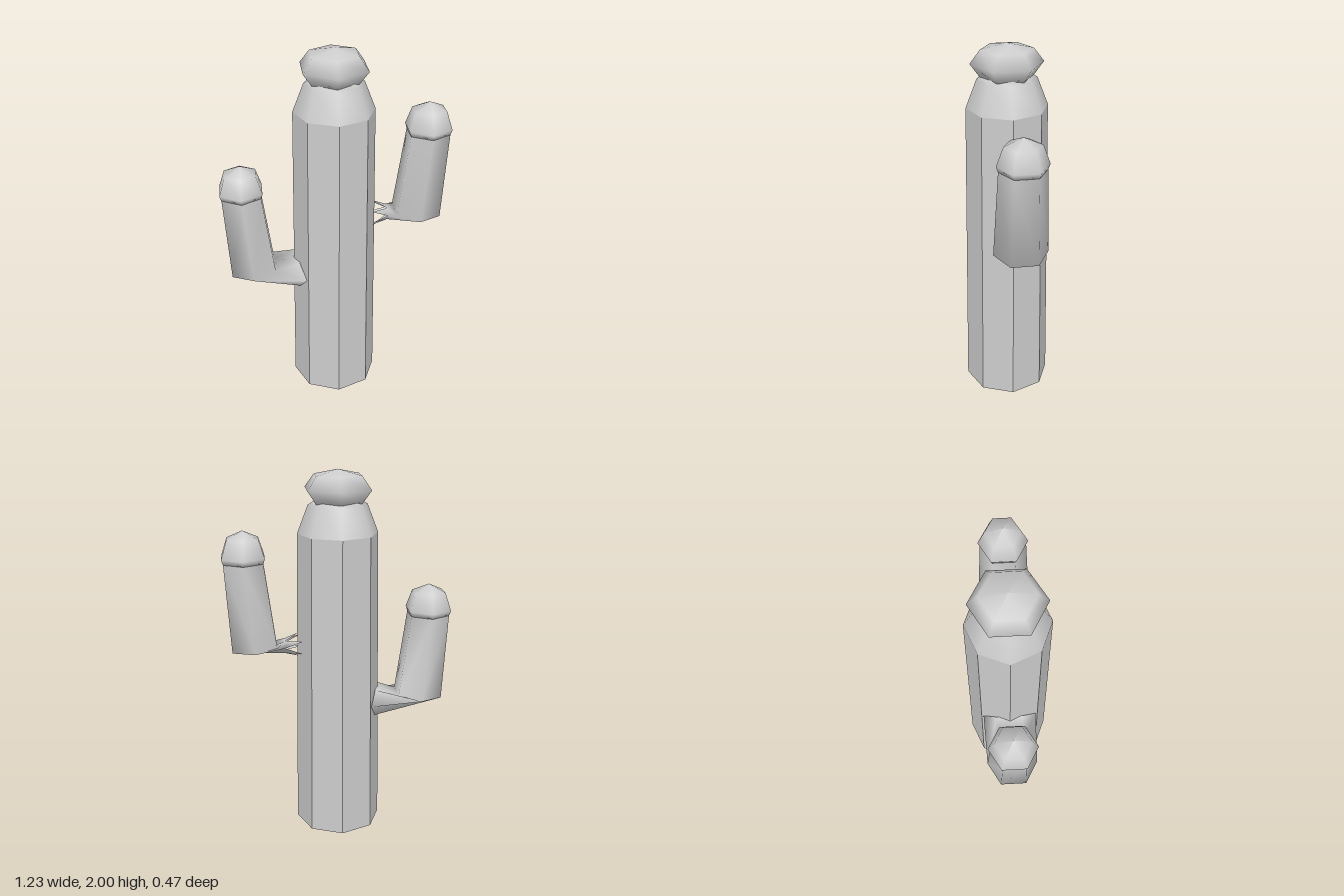
import * as THREE from 'three';

const skin = new THREE.MeshStandardMaterial({ color: 0xcccccc, side: THREE.DoubleSide });
skin.name = 'cactusSkin';

function add(parent, name, geometry) {
  const mesh = new THREE.Mesh(geometry, skin);
  mesh.name = name;
  parent.add(mesh);
  return mesh;
}

function lathe(profile, sides) {
  return new THREE.LatheGeometry(profile.map(([r, y]) => new THREE.Vector2(r, y)), sides);
}

// Hexagonal section: outer, middle and inner [x, y, halfDepth], mirrored in z
function ring(outer, middle, inner) {
  const half = [outer, middle, inner];
  return [
    ...half.map(([x, y, z]) => [x, y, z]),
    ...half.reverse().map(([x, y, z]) => [x, y, -z]),
  ];
}

// Smooth skin over the sections, with optional pointed teeth on the last one
function loft(rings, side, teeth = []) {
  const points = [...rings, teeth].flat();
  const index = [];
  const tri = (a, b, c) => (side > 0 ? index.push(a, b, c) : index.push(a, c, b));
  for (let r = 0; r < rings.length; r++) {
    for (let i = 0; i < 6; i++) {
      const a = r * 6 + i, b = r * 6 + (i + 1) % 6;
      if (r < rings.length - 1) {
        tri(a, b, a + 6);
        tri(b, b + 6, a + 6);
      } else if (teeth.length) {
        tri(a, b, rings.length * 6 + i);
      }
    }
  }
  const g = new THREE.BufferGeometry();
  g.setAttribute('position', new THREE.Float32BufferAttribute(
    points.flatMap(([x, y, z]) => [side * x, y, z]), 3));
  g.setIndex(index);
  g.computeVertexNormals();
  return g;
}

function arm(name, side, topY, elbowY, root, teeth) {
  const group = new THREE.Group();
  group.name = name;
  const top = ring([0.604, topY, 0.06], [0.5, topY, 0.12], [0.396, topY, 0.06]);
  const elbow = ring([0.575, elbowY, 0.07], [0.455, elbowY + 0.01, 0.14], [0.335, elbowY + 0.02, 0.07]);
  add(group, 'armStem', loft([top, elbow, root], side, teeth));

  // Rounded six-sided tip
  const cap = add(group, 'armTip', lathe(
    [[0, 0], [0.12, 0], [0.13, 0.028], [0.095, 0.125], [0, 0.168]], 6));
  cap.position.set(side * 0.5, topY, 0);
  return group;
}

export function createModel() {
  const model = new THREE.Group();
  model.name = 'cactus';

  // Faceted trunk
  const trunk = new THREE.CylinderGeometry(0.215, 0.237, 1.67, 8).toNonIndexed();
  trunk.computeVertexNormals();
  add(model, 'trunk', trunk).position.y = 0.835;

  // Sloping shoulder and the bud on top
  add(model, 'trunkShoulder', lathe([[0.215, 1.67], [0.157, 1.82], [0.13, 1.836], [0, 1.836]], 8));
  add(model, 'topBud', lathe([[0, 1.825], [0.137, 1.828], [0.19, 1.9], [0.137, 1.97], [0, 2]], 6));

  // Low arm, widening where it enters the trunk
  model.add(arm('rightArm', -1, 1.212, 0.735,
    ring([0.2, 0.65, 0.075], [0.168, 0.73, 0.15], [0.2, 0.8, 0.075])));

  // High arm, pinched to a neck with torn teeth reaching the trunk
  const teeth = [
    [0.2, 1.025, 0.068], [0.2, 1.095, 0.068], [0.215, 1.128, 0],
    [0.2, 1.095, -0.068], [0.2, 1.025, -0.068], [0.208, 0.985, 0.02],
  ];
  model.add(arm('leftArm', 1, 1.525, 1.045,
    ring([0.29, 1.02, 0.025], [0.29, 1.055, 0.05], [0.29, 1.09, 0.025]), teeth));

  return model;
}
